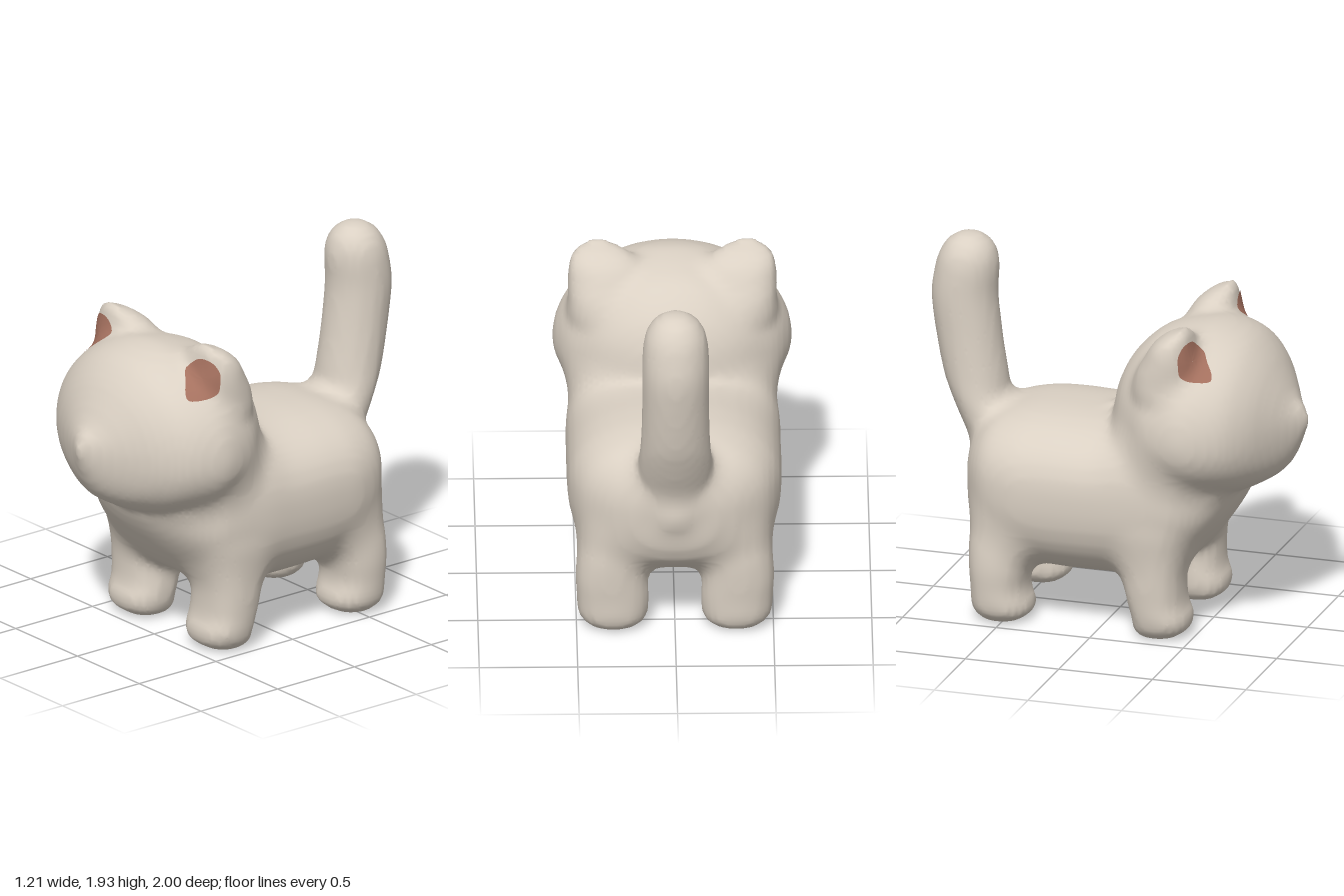
import * as THREE from 'three';

// Smoothly interpolate section rows, ordered along their axis (first entry)
function smoothSections(sections, steps = 5) {
  const out = [], last = sections.length - 1;
  const at = i => sections[Math.min(last, Math.max(0, i))];
  for (let i = 0; i < last * steps; i++) {
    const k0 = Math.floor(i / steps), t = (i % steps) / steps;
    out.push(at(k0).map((p1, k) => {
      const p0 = at(k0 - 1)[k], p2 = at(k0 + 1)[k], p3 = at(k0 + 2)[k];
      const v0 = (p2 - p0) / 2, v1 = (p3 - p1) / 2;
      return p1 + v0 * t + (3 * (p2 - p1) - 2 * v0 - v1) * t * t + (2 * (p1 - p2) + v0 + v1) * t * t * t;
    }));
  }
  out.push(sections[last]);
  return out.sort((a, b) => a[0] - b[0]);
}

// Distance-like field of a loft with superellipse sections
function loftField(sections, power, alongZ) {
  const rows = smoothSections(sections);
  const lo = rows[0][0], hi = rows[rows.length - 1][0];
  return (x, y, z) => {
    const axis = alongZ ? z : y;
    const excess = Math.max(lo - axis, axis - hi);
    if (excess > 0.15) return excess;
    let i = 1;
    while (i < rows.length - 1 && rows[i][0] < axis) i++;
    const a = rows[i - 1], b = rows[i];
    const t = Math.min(1, Math.max(0, (axis - a[0]) / (b[0] - a[0])));
    const p = k => a[k] + (b[k] - a[k]) * t;
    let u, v, ru, rv;
    if (alongZ) { // bottom, widest height, top, half width
      u = x; ru = p(4);
      v = y - p(2); rv = v > 0 ? p(3) - p(2) : p(2) - p(1);
    } else { // xMin, xMax, zMin, zMax
      u = Math.abs(x) - (p(1) + p(2)) / 2; ru = (p(2) - p(1)) / 2;
      v = z - (p(3) + p(4)) / 2; rv = (p(4) - p(3)) / 2;
    }
    ru = Math.max(ru, 1e-3);
    rv = Math.max(rv, 1e-3);
    const r = (Math.abs(u / ru) ** power + Math.abs(v / rv) ** power) ** (1 / power);
    return Math.max((r - 1) * Math.min(ru, rv), excess);
  };
}

const HEAD = [
  [1.01, 1.12, 1.12, 1.12, 0], [0.985, 1.04, 1.11, 1.175, 0.04], [0.93, 0.91, 1.1, 1.23, 0.15],
  [0.87, 0.835, 1.1, 1.34, 0.28], [0.8, 0.79, 1.1, 1.45, 0.415], [0.7, 0.745, 1.1, 1.545, 0.53],
  [0.56, 0.72, 1.1, 1.595, 0.597], [0.45, 0.72, 1.1, 1.595, 0.603], [0.3, 0.72, 1.1, 1.56, 0.55],
  [0.2, 0.75, 1.1, 1.51, 0.47], [0.1, 0.85, 1.11, 1.41, 0.35], [0.04, 0.95, 1.12, 1.3, 0.22],
  [0.012, 1.04, 1.125, 1.21, 0.11], [0, 1.13, 1.13, 1.13, 0],
];
const BODY = [
  [0.69, 0.8, 0.8, 0.8, 0], [0.66, 0.68, 0.8, 0.95, 0.22], [0.6, 0.57, 0.77, 1.05, 0.36],
  [0.5, 0.43, 0.74, 1.16, 0.46], [0.4, 0.34, 0.73, 1.22, 0.515], [0.2, 0.265, 0.72, 1.19, 0.543],
  [0, 0.25, 0.72, 1.1, 0.545], [-0.28, 0.255, 0.72, 1.1, 0.545], [-0.45, 0.28, 0.72, 1.09, 0.53],
  [-0.6, 0.36, 0.72, 1.05, 0.465], [-0.7, 0.44, 0.72, 0.96, 0.34], [-0.745, 0.53, 0.72, 0.86, 0.22],
  [-0.767, 0.63, 0.72, 0.79, 0.1], [-0.772, 0.72, 0.72, 0.72, 0],
];
const FRONT_LEG = [
  [0, 0.23, 0.4, 0.25, 0.39], [0.012, 0.19, 0.435, 0.21, 0.425], [0.035, 0.155, 0.467, 0.188, 0.462],
  [0.1, 0.137, 0.492, 0.18, 0.48], [0.18, 0.134, 0.498, 0.16, 0.452], [0.3, 0.14, 0.506, 0.135, 0.447],
  [0.45, 0.14, 0.505, 0.12, 0.455], [0.6, 0.17, 0.47, 0.15, 0.42], [0.75, 0.28, 0.34, 0.25, 0.32],
];
const BACK_LEG = [
  [0, 0.23, 0.4, -0.59, -0.45], [0.012, 0.19, 0.435, -0.63, -0.41], [0.035, 0.155, 0.467, -0.657, -0.378],
  [0.08, 0.137, 0.492, -0.677, -0.36], [0.18, 0.134, 0.498, -0.682, -0.388], [0.3, 0.14, 0.503, -0.69, -0.37],
  [0.45, 0.13, 0.485, -0.69, -0.33], [0.6, 0.15, 0.43, -0.66, -0.35], [0.78, 0.26, 0.32, -0.54, -0.46],
];
const TAIL = [
  [0.45, 0, 0, -0.6, -0.6], [0.58, -0.13, 0.13, -0.73, -0.5], [0.72, -0.18, 0.18, -0.772, -0.5],
  [0.87, -0.19, 0.19, -0.8, -0.5], [1.0, -0.19, 0.19, -0.858, -0.53], [1.1, -0.182, 0.182, -0.9, -0.59],
  [1.2, -0.175, 0.175, -0.935, -0.61], [1.4, -0.17, 0.17, -0.975, -0.64], [1.6, -0.17, 0.17, -1.0, -0.66],
  [1.75, -0.165, 0.165, -0.98, -0.655], [1.83, -0.148, 0.148, -0.955, -0.665], [1.89, -0.11, 0.11, -0.915, -0.7],
  [1.92, -0.065, 0.065, -0.87, -0.745], [1.935, 0, 0, -0.81, -0.81],
];
const EAR = [
  [1.2, 0.3, 0.42, 0.3, 0.42], [1.3, 0.15, 0.52, 0.2, 0.53], [1.4, 0.13, 0.53, 0.2, 0.545],
  [1.5, 0.14, 0.53, 0.25, 0.535], [1.58, 0.17, 0.522, 0.3, 0.51], [1.63, 0.24, 0.492, 0.36, 0.497],
  [1.66, 0.31, 0.45, 0.425, 0.488], [1.675, 0.38, 0.38, 0.47, 0.47],
];

// Each part's field is merged into the earlier ones with a soft blend
const PARTS = [
  { name: 'body', field: loftField(BODY, 2.45, true), blend: 0 },
  { name: 'head', field: loftField(HEAD, 2.05, true), blend: 0.1 },
  { name: 'Ear', field: loftField(EAR, 2.1, false), blend: 0.045, paired: true },
  { name: 'tail', field: loftField(TAIL, 2, false), blend: 0.08 },
  { name: 'FrontLeg', field: loftField(FRONT_LEG, 2.4, false), blend: 0.09, paired: true },
  { name: 'BackLeg', field: loftField(BACK_LEG, 2.25, false), blend: 0.09, paired: true },
];

function catField(x, y, z) {
  return PARTS.reduce((d, { field, blend }) => {
    const e = field(x, y, z);
    const h = blend ? Math.max(blend - Math.abs(d - e), 0) / blend : 0;
    return Math.min(d, e) - h * h * blend / 4;
  }, Infinity);
}

// Wrap the field in a quad skin: one point per crossed cell of a grid
function wrapField(field, min, size, cell) {
  const n = size.map(s => Math.round(s / cell) + 1);
  const stride = [1, n[0], n[0] * n[1]], total = n[0] * n[1] * n[2];
  const place = (i, a) => min[a] + cell * (Math.floor(i / stride[a]) % n[a]);
  const value = new Float32Array(total), vertex = new Int32Array(total).fill(-1);
  for (let i = 0; i < total; i++) value[i] = field(place(i, 0), place(i, 1), place(i, 2));
  const crosses = (i, j) => (value[i] < 0) !== (value[j] < 0);
  const points = [], quads = [];
  for (let i = 0; i < total - stride[2] - stride[1] - 1; i++) {
    const hits = [];
    for (let a = 0; a < 3; a++) {
      const b = stride[(a + 1) % 3], c = stride[(a + 2) % 3];
      for (const p of [i, i + b, i + c, i + b + c]) {
        const q = p + stride[a];
        if (!crosses(p, q)) continue;
        const at = [place(p, 0), place(p, 1), place(p, 2)];
        at[a] += cell * value[p] / (value[p] - value[q]);
        hits.push(new THREE.Vector3(...at));
      }
    }
    if (!hits.length) continue;
    vertex[i] = points.length;
    points.push(hits.reduce((s, h) => s.add(h), new THREE.Vector3()).divideScalar(hits.length));
  }
  for (let i = 0; i < total; i++) {
    if (vertex[i] < 0) continue;
    for (let a = 0; a < 3; a++) {
      if (!crosses(i, i + stride[a])) continue;
      const b = stride[(a + 1) % 3], c = stride[(a + 2) % 3];
      const quad = [i, i - b, i - b - c, i - c].map(k => vertex[k]);
      quads.push(value[i] < 0 ? quad : quad.reverse());
    }
  }
  return { points, quads };
}

// Even out the skin without shrinking it
function relax({ points, quads }, passes) {
  for (let pass = 0; pass < passes * 2; pass++) {
    const sums = points.map(() => new THREE.Vector3()), counts = points.map(() => 0);
    for (const quad of quads) quad.forEach((a, k) => {
      const b = quad[(k + 1) % 4];
      sums[a].add(points[b]);
      sums[b].add(points[a]);
      counts[a]++;
      counts[b]++;
    });
    points.forEach((p, i) => p.lerp(sums[i].divideScalar(counts[i]), pass % 2 ? -0.52 : 0.5));
  }
}

// Front outline of the inner ear, counter-clockwise
const INNER_EAR = [[0.306, 1.55], [0.36, 1.495], [0.43, 1.425], [0.475, 1.425], [0.5, 1.46],
  [0.5, 1.55], [0.465, 1.6], [0.41, 1.615], [0.355, 1.6]];

// Thin patch laid over the front of the given meshes
function innerEarPatch(targets, side) {
  const curve = new THREE.CatmullRomCurve3(
    INNER_EAR.map(([x, y]) => new THREE.Vector3(x * side, y, 0)), true, 'catmullrom', 0.4);
  const rim = curve.getPoints(40).slice(0, -1);
  if (side < 0) rim.reverse();
  const centre = new THREE.Vector3(0.42 * side, 1.52, 0), back = new THREE.Vector3(0, 0, -1);
  const ray = new THREE.Raycaster(), points = [], index = [], n = rim.length;
  for (let k = 0; k <= 6; k++) rim.forEach((corner, j) => {
    const p = centre.clone().lerp(corner, Math.max(k / 6, 0.01));
    ray.set(new THREE.Vector3(p.x, p.y, 3), back);
    const hit = ray.intersectObjects(targets)[0];
    points.push(p.setZ((hit ? hit.point.z : 0.47) + 0.006));
    const a = k * n + j, b = k * n + (j + 1) % n;
    if (k < 6) index.push(a, a + n, b, b, a + n, b + n);
  });
  const geo = new THREE.BufferGeometry().setFromPoints(points).setIndex(index);
  geo.computeVertexNormals();
  return geo;
}

export function createModel() {
  const model = new THREE.Group();
  model.name = 'cat';
  const fur = new THREE.MeshStandardMaterial({ name: 'beige fur', color: 0xdad0c3 });
  const innerEar = new THREE.MeshStandardMaterial({ name: 'inner ear brown', color: 0xa5715f });
  const add = (name, geometry, material) => {
    const mesh = new THREE.Mesh(geometry, material);
    mesh.name = name;
    model.add(mesh);
    return mesh;
  };

  const skin = wrapField(catField, [-0.7, -0.07, -1.078], [1.4, 2.1, 2.156], 0.028);
  relax(skin, 6);
  const whole = new THREE.BufferGeometry().setFromPoints(skin.points);
  whole.setIndex(skin.quads.flatMap(([a, b, c, d]) => [a, b, c, a, c, d]));
  whole.computeVertexNormals();

  // Divide the seamless skin into its named parts
  const faces = {};
  for (const [a, b, c, d] of skin.quads) {
    const { x, y, z } = skin.points[a];
    const depths = PARTS.map(part => part.field(x, y, z));
    const part = PARTS[depths.indexOf(Math.min(...depths))];
    const name = (part.paired ? (x > 0 ? 'left' : 'right') : '') + part.name;
    (faces[name] ??= []).push(a, b, c, a, c, d);
  }
  const furry = Object.entries(faces).map(([name, index]) => {
    const geo = new THREE.BufferGeometry().setIndex(index);
    geo.setAttribute('position', whole.attributes.position);
    geo.setAttribute('normal', whole.attributes.normal);
    return add(name, geo, fur);
  });
  add('leftInnerEar', innerEarPatch(furry, 1), innerEar);
  add('rightInnerEar', innerEarPatch(furry, -1), innerEar);
  return model;
}
